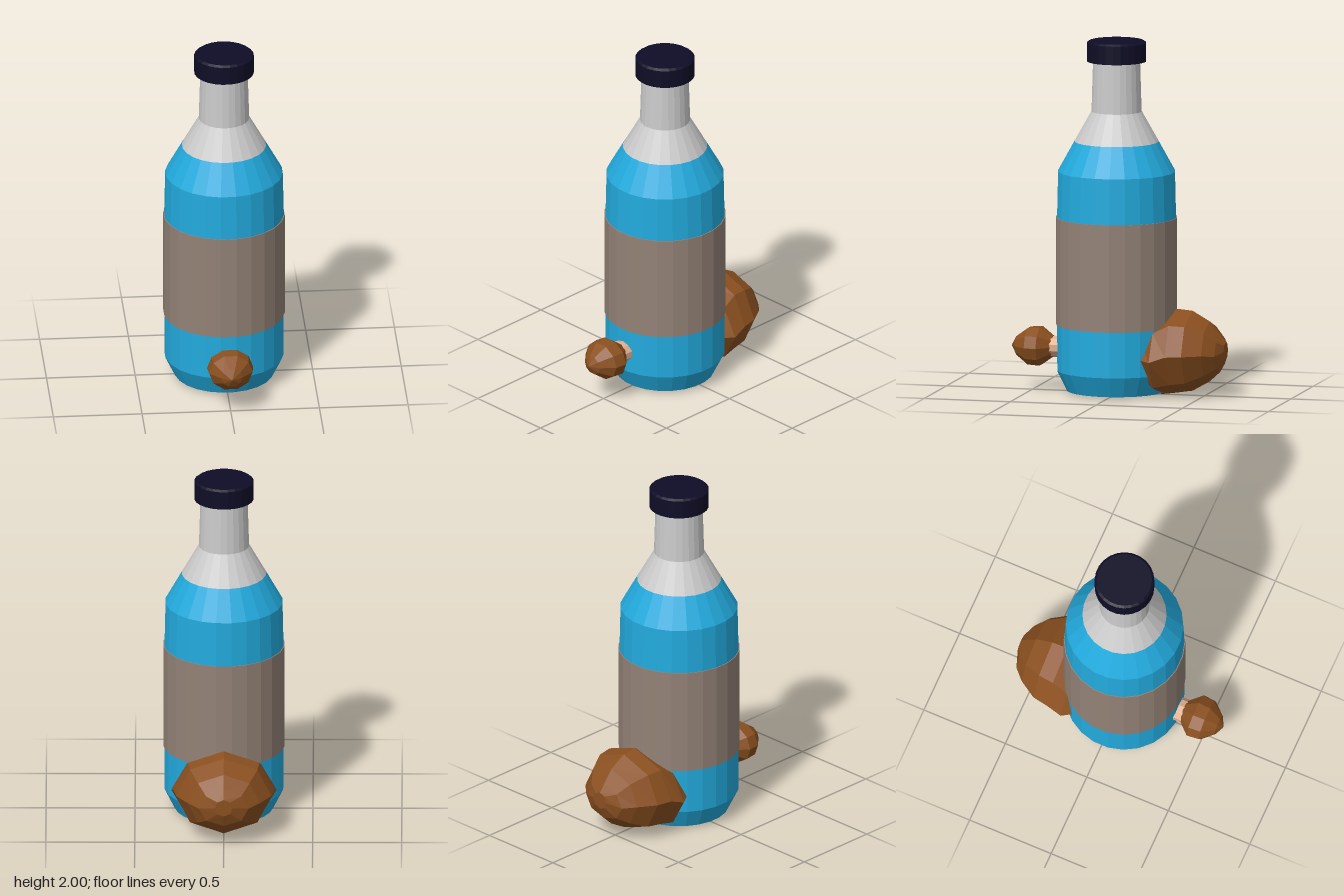
import * as THREE from 'three';

const SIDES = 24;
const AXIS_Z = 0.012;

function paint(color) {
  return new THREE.MeshStandardMaterial({ color, flatShading: true, side: THREE.DoubleSide });
}

// Turned part around the bottle's axis; profile is [radius, height] from bottom to top
function turned(name, profile, color) {
  const points = profile.map(([r, y]) => new THREE.Vector2(r, y));
  const mesh = new THREE.Mesh(new THREE.LatheGeometry(points, SIDES, Math.PI / SIDES), paint(color));
  mesh.name = name;
  mesh.position.z = AXIS_Z;
  return mesh;
}

// Faceted solid through elliptical rings [z, centreY, radiusX, radiusY], listed back to front
function lofted(name, rings, sides, color) {
  const positions = [];
  const index = [];
  for (const [z, cy, rx, ry] of rings) {
    for (let i = 0; i < sides; i++) {
      const a = (i / sides) * Math.PI * 2;
      positions.push(rx * Math.cos(a), cy + ry * Math.sin(a), z);
    }
  }
  for (let k = 0; k < rings.length - 1; k++) {
    for (let i = 0; i < sides; i++) {
      const j = (i + 1) % sides;
      const a = k * sides + i, b = k * sides + j;
      index.push(a, b, b + sides, a, b + sides, a + sides);
    }
  }
  // End caps
  const last = (rings.length - 1) * sides;
  for (let i = 1; i < sides - 1; i++) {
    index.push(0, i + 1, i, last, last + i, last + i + 1);
  }
  const geometry = new THREE.BufferGeometry();
  geometry.setAttribute('position', new THREE.Float32BufferAttribute(positions, 3));
  geometry.setIndex(index);
  geometry.computeVertexNormals();
  const mesh = new THREE.Mesh(geometry, paint(color));
  mesh.name = name;
  return mesh;
}

export function createModel() {
  const model = new THREE.Group();
  model.name = 'bottle';
  const blue = 0x22aadd, brown = 0x8b5020;

  // Bottle: filled body, clear shoulder and neck, label band, cap
  model.add(turned('body', [
    [0, 0.015], [0.28, 0.015], [0.336, 0.13], [0.337, 1.0], [0.331, 1.26], [0.237, 1.43],
  ], blue));
  model.add(turned('neck', [[0.237, 1.43], [0.142, 1.6], [0.133, 1.9]], 0xcccccc));
  model.add(turned('label', [[0.334, 0.39], [0.342, 0.39], [0.342, 1.0], [0.334, 1.0]], 0x938276));
  model.add(turned('cap', [
    [0, 1.885], [0.168, 1.885], [0.168, 1.99], [0.155, 2.0], [0, 2.0],
  ], 0x0f0d26));

  // Large rounded lump at the back
  model.add(lofted('backLump', [
    [-0.622, 0.26, 0.05, 0.05],
    [-0.59, 0.245, 0.14, 0.105],
    [-0.53, 0.255, 0.205, 0.17],
    [-0.43, 0.255, 0.268, 0.227],
    [-0.34, 0.252, 0.283, 0.238],
    [-0.25, 0.22, 0.296, 0.218],
    [-0.17, 0.23, 0.25, 0.14],
  ], 8, brown));

  // Small knob on a short stem at the front
  model.add(lofted('frontKnob', [
    [0.378, 0.25, 0.062, 0.06],
    [0.45, 0.25, 0.13, 0.113],
    [0.52, 0.25, 0.122, 0.108],
    [0.59, 0.25, 0.058, 0.055],
    [0.618, 0.25, 0.005, 0.005],
  ], 10, brown));
  const stem = new THREE.Mesh(new THREE.CylinderGeometry(0.07, 0.07, 0.1, 10), paint(0xe0b090));
  stem.name = 'knobStem';
  stem.rotation.x = Math.PI / 2;
  stem.scale.z = 0.85;
  stem.position.set(0, 0.25, 0.34);
  model.add(stem);

  return model;
}
